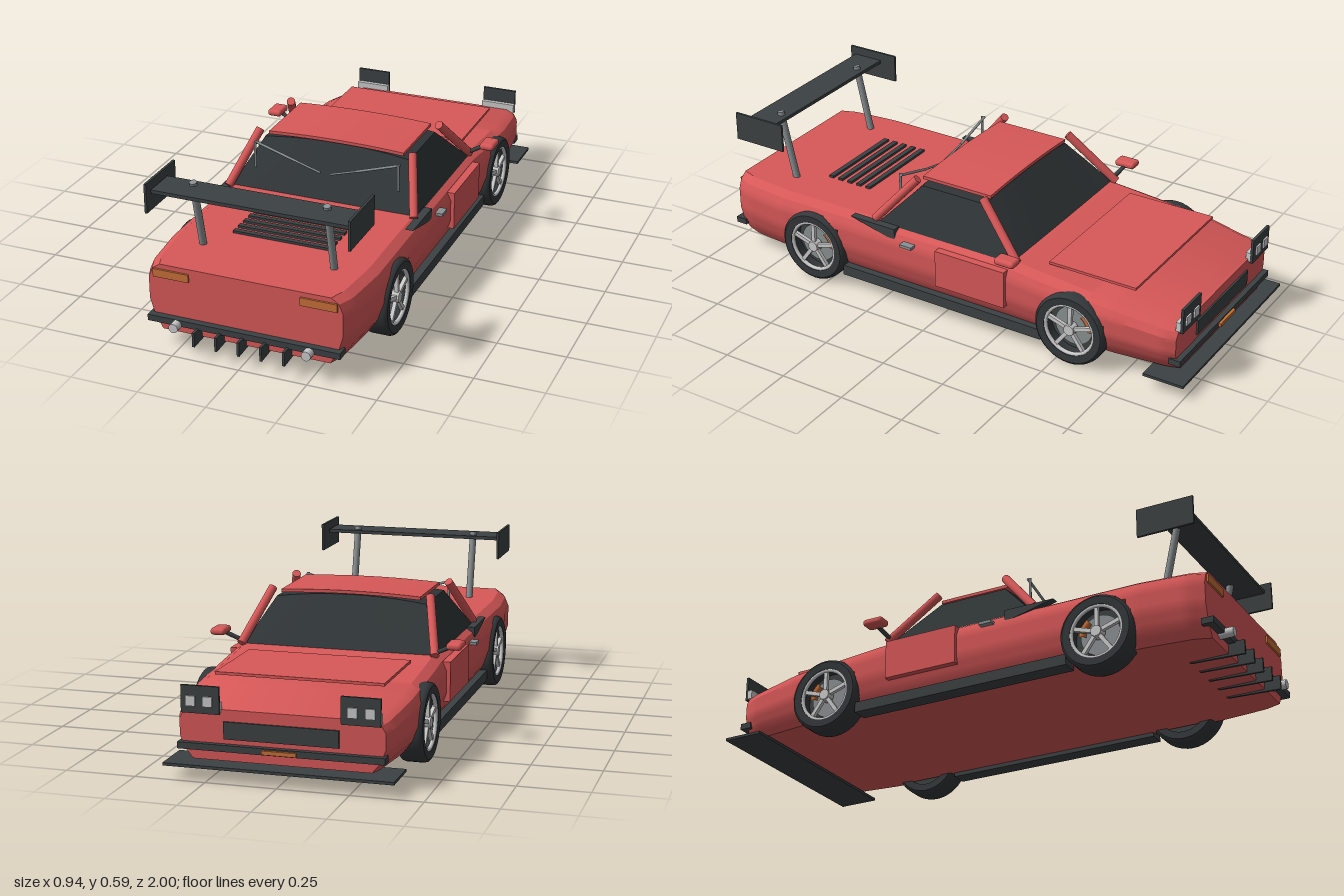
import * as THREE from 'three';
import { toCreasedNormals } from 'three/addons/utils/BufferGeometryUtils.js';
import { RoundedBoxGeometry } from 'three/addons/geometries/RoundedBoxGeometry.js';

const paint = (color, side = THREE.FrontSide) => new THREE.MeshStandardMaterial({ color, side });
const red = paint(0xd85858), black = paint(0x3c4143), glass = paint(0x2f3436);
const steel = paint(0x8a9092), grey = paint(0xcccccc), orange = paint(0xc87038);
const rubber = paint(0x34383a, THREE.DoubleSide);
const AXLES = [0.555, -0.555], WHEEL_Y = 0.139;

export function createModel() {
  const car = new THREE.Group();
  car.name = 'sportsCar';

  const add = (name, geo, mat, parent = car) => {
    const m = new THREE.Mesh(geo, mat);
    m.name = name;
    parent.add(m);
    return m;
  };
  // Box given by its limits on each axis
  const box = (name, mat, [x0, x1], [y0, y1], [z0, z1]) => {
    const m = add(name, new THREE.BoxGeometry(Math.abs(x1 - x0), y1 - y0, z1 - z0), mat);
    m.position.set((x0 + x1) / 2, (y0 + y1) / 2, (z0 + z1) / 2);
    return m;
  };
  // Round bar between two points
  const rod = (name, mat, a, b, r) => {
    const p = new THREE.Vector3(...a), d = new THREE.Vector3(...b).sub(p);
    const m = add(name, new THREE.CylinderGeometry(r, r, d.length(), 14), mat);
    m.position.copy(p).addScaledVector(d, 0.5);
    m.quaternion.setFromUnitVectors(new THREE.Vector3(0, 1, 0), d.normalize());
  };
  // Flat plate outlined in (z, y), with thickness along x
  const plate = (name, mat, pts, x, thick) => {
    const shape = new THREE.Shape(pts.map(p => new THREE.Vector2(...p)));
    const geo = new THREE.ExtrudeGeometry(shape, { depth: thick, bevelEnabled: false });
    add(name, geo.translate(0, 0, -thick / 2).rotateY(-Math.PI / 2), mat).position.x = x;
  };

  add('body', bodyGeometry(), red);

  // Cabin glass: box tapered towards a slightly arched top
  const cabin = new THREE.BoxGeometry(2, 1, 2, 10, 1, 1);
  bend(cabin, p => {
    const top = p.y > 0;
    const x = p.x * (top ? 0.285 : 0.365);
    const z = top ? p.z * 0.135 : (p.z > 0 ? 0.285 : -0.31);
    p.set(x, top ? 0.481 - 0.25 * x * x : 0.3, z);
  });
  add('cabinGlass', toCreasedNormals(cabin, 0.5), glass);

  const roof = new THREE.BoxGeometry(0.53, 0.012, 0.29, 10, 1, 1);
  bend(roof, p => { p.y += 0.491 - 0.12 * p.x * p.x; });
  add('roof', toCreasedNormals(roof, 0.5), red);

  // Bonnet lid and engine louvres
  box('bonnetLid', red, [-0.3, 0.3], [0.308, 0.318], [-0.755, -0.41]);
  for (let i = 0; i < 5; i++) {
    const z = 0.455 + i * 0.0425;
    box('engineLouvre', black, [-0.185, 0.185], [0.305, 0.321], [z - 0.01, z + 0.01]);
  }

  // Wing blade
  box('wingBlade', black, [-0.36, 0.36], [0.547, 0.56], [0.77, 0.892]);

  // Bumpers, splitter, grille, badge-free nose marker
  box('tailBumper', black, [-0.356, 0.356], [0.1, 0.123], [0.92, 0.965]);
  box('noseBumper', black, [-0.36, 0.36], [0.1, 0.123], [-0.965, -0.92]);
  box('splitter', black, [-0.4, 0.4], [0.047, 0.057], [-1, -0.845]);
  box('grille', black, [-0.2, 0.2], [0.14, 0.2], [-0.952, -0.93]);
  box('noseMarker', orange, [-0.06, 0.06], [0.104, 0.118], [-0.975, -0.96]);

  // Diffuser fins
  for (let i = -2; i <= 2; i++)
    plate('diffuserFin', black, [[0.79, 0.067], [0.8, 0.06], [1, 0.053], [1, 0.106], [0.93, 0.106]], i * 0.0833, 0.009);

  for (const s of [1, -1]) {
    // Roof pillars
    rod('rearPillar', red, [s * 0.3, 0.492, 0.145], [s * 0.363, 0.315, 0.295], 0.016);
    rod('frontPillar', red, [s * 0.3, 0.492, -0.135], [s * 0.363, 0.315, -0.315], 0.016);
    // Side intake behind the door window
    plate('sideIntake', black, [[0.385, 0.312], [0.19, 0.312], [0.19, 0.265]], s * 0.378, 0.03);
    // Door panel, handle and sill
    box('doorPanel', red, [s * 0.385, s * 0.414], [0.145, 0.29], [-0.29, 0]);
    box('doorHandle', steel, [s * 0.39, s * 0.42], [0.264, 0.275], [0.1, 0.15]);
    box('sideSkirt', black, [s * 0.33, s * 0.392], [0.048, 0.088], [-0.43, 0.43]);
    // Door mirror
    rod('mirrorStalk', black, [s * 0.36, 0.322, -0.3], [s * 0.425, 0.355, -0.32], 0.008);
    add('mirror', new RoundedBoxGeometry(0.056, 0.026, 0.082, 3, 0.012), red)
      .position.set(s * 0.44, 0.361, -0.32);
    // Wing post and end plate
    rod('wingPost', steel, [s * 0.245, 0.3, 0.743], [s * 0.245, 0.572, 0.805], 0.0135);
    box('wingEndPlate', black, [s * 0.364, s * 0.373], [0.482, 0.59], [0.703, 0.917]);
    // Wiper
    rod('wiperMount', steel, [s * 0.28, 0.38, 0.235], [s * 0.28, 0.48, 0.235], 0.005);
    rod('wiperArm', steel, [s * 0.285, 0.478, 0.228], [s * 0.12, 0.428, 0.232], 0.005);
    rod('wiperBlade', steel, [s * 0.12, 0.428, 0.232], [s * 0.02, 0.402, 0.24], 0.004);
    // Tail lamp and exhaust
    box('tailLamp', orange, [s * 0.205, s * 0.338], [0.264, 0.294], [0.92, 0.947]);
    rod('exhaust', grey, [s * 0.245, 0.105, 0.92], [s * 0.245, 0.105, 0.995], 0.0175);
    // Raised headlamps
    box('headlampPlate', black, [s * 0.21, s * 0.345], [0.225, 0.32], [-0.962, -0.952]);
    box('headlampMount', grey, [s * 0.21, s * 0.345], [0.23, 0.265], [-0.952, -0.935]);
    for (const x of [0.25, 0.31])
      box('headlampLens', grey, [s * (x - 0.017), s * (x + 0.017)], [0.25, 0.285], [-0.968, -0.96]);
    // Wheels
    for (const z of AXLES) {
      const w = wheel(add, s);
      w.position.set(s * 0.367, WHEEL_Y, z);
      car.add(w);
    }
  }
  return car;
}

// Moves each vertex of a geometry by a rule
function bend(geo, rule) {
  const pos = geo.attributes.position, p = new THREE.Vector3();
  for (let i = 0; i < pos.count; i++) {
    p.fromBufferAttribute(pos, i);
    rule(p);
    pos.setXYZ(i, p.x, p.y, p.z);
  }
}

// Linear interpolation in rows of [key, value, ...]
function sample(rows, k, col) {
  let i = 1;
  while (i < rows.length - 1 && rows[i][0] < k) i++;
  const a = rows[i - 1], b = rows[i];
  return a[col] + (b[col] - a[col]) * (k - a[0]) / (b[0] - a[0]);
}

// Body shell lofted along z, with recesses for the wheels
function bodyGeometry() {
  // z, half width, top height
  const plan = [[-0.945, 0.357, 0.24], [-0.9, 0.374, 0.246], [-0.7, 0.4, 0.276], [-0.4, 0.402, 0.303],
    [-0.31, 0.4, 0.312], [0.4, 0.4, 0.312], [0.7, 0.402, 0.312], [0.88, 0.382, 0.312], [0.94, 0.357, 0.312]];
  // height fraction, width fraction
  const flank = [[0, 0.87], [0.2, 0.95], [0.45, 1], [0.78, 1], [0.92, 0.96], [1, 0.88]];
  const levels = [0, 0.1, 0.2, 0.28, 0.36, 0.45, 0.53, 0.61, 0.7, 0.78, 0.85, 0.92, 1];
  const base = 0.064, steps = 110, n = levels.length * 2;
  const verts = [], index = [];
  for (let i = 0; i <= steps; i++) {
    const z = -0.945 + 1.885 * i / steps, w = sample(plan, z, 1), top = sample(plan, z, 2);
    const half = levels.map(t => {
      const y = base + t * (top - base);
      const inArch = AXLES.some(c => Math.hypot(z - c, y - WHEEL_Y) < 0.124);
      return [inArch ? 0.335 : w * sample(flank, t, 1), y];
    });
    for (const [x, y] of half) verts.push(x, y, z);
    for (const [x, y] of half.reverse()) verts.push(-x, y, z);
  }
  for (let i = 0; i < steps; i++)
    for (let j = 0; j < n; j++) {
      const a = i * n + j, b = i * n + (j + 1) % n;
      index.push(a, b, a + n, b, b + n, a + n);
    }
  // Flat nose and tail
  const last = steps * n;
  for (let j = 1; j < n - 1; j++) {
    index.push(0, j + 1, j);
    index.push(last, last + j, last + j + 1);
  }
  const geo = new THREE.BufferGeometry();
  geo.setAttribute('position', new THREE.Float32BufferAttribute(verts, 3));
  geo.setIndex(index);
  return toCreasedNormals(geo, 0.5);
}

// Wheel built facing +z, then turned to its side of the car
function wheel(add, s) {
  const g = new THREE.Group();
  g.name = 'wheel';
  const profile = [[0.1, -0.045], [0.128, -0.047], [0.136, -0.041], [0.139, -0.03], [0.139, 0.03],
    [0.136, 0.041], [0.128, 0.047], [0.1, 0.045], [0.1, -0.045]].map(p => new THREE.Vector2(...p));
  add('tyre', toCreasedNormals(new THREE.LatheGeometry(profile, 40).rotateX(Math.PI / 2), 0.7), rubber, g);
  add('wheelBack', new THREE.CylinderGeometry(0.1, 0.1, 0.01, 32).rotateX(Math.PI / 2), black, g).position.z = -0.015;
  add('brakeDisc', new THREE.CylinderGeometry(0.075, 0.075, 0.012, 32).rotateX(Math.PI / 2), steel, g);
  add('rim', new THREE.TorusGeometry(0.097, 0.008, 8, 36), grey, g).position.z = 0.036;
  add('hub', new THREE.CylinderGeometry(0.02, 0.024, 0.03, 16).rotateX(Math.PI / 2), grey, g).position.z = 0.03;
  for (let i = 0; i < 5; i++)
    add('spoke', new THREE.BoxGeometry(0.015, 0.085, 0.014).translate(0, 0.054, 0.032).rotateZ(i * Math.PI * 0.4), grey, g);
  const caliper = add('brakeCaliper', new THREE.TorusGeometry(0.067, 0.014, 8, 10, 0.95), orange, g);
  caliper.position.z = 0.008;
  caliper.rotation.z = s > 0 ? 0 : Math.PI - 0.95;
  g.rotation.y = s * Math.PI / 2;
  return g;
}
